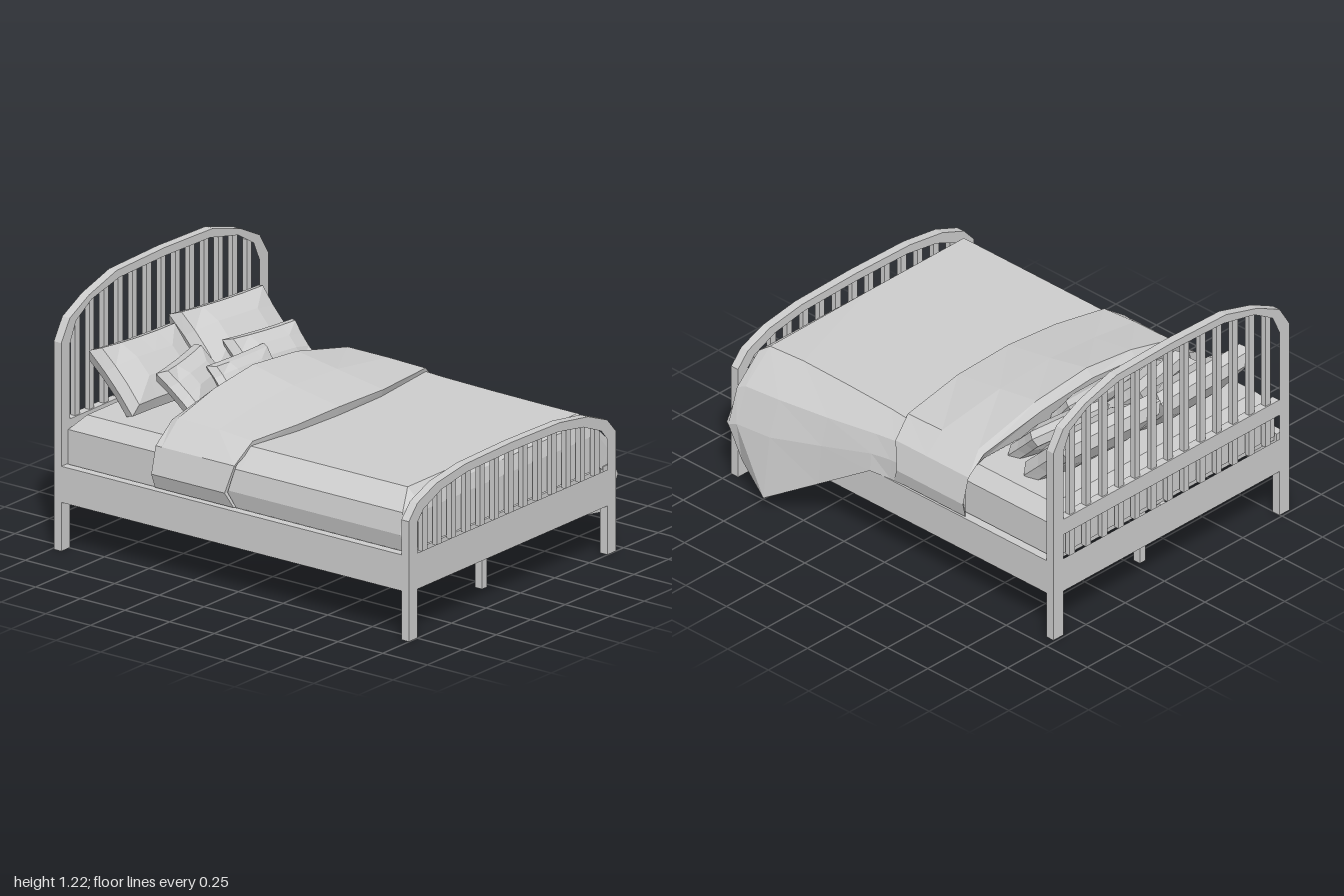
import * as THREE from 'three';

const CX = -0.057; // centre line of the bed frame
const HALF = 0.752; // half the frame width
const POST = 0.063;
const DEPTH = 0.042;

const mat = new THREE.MeshStandardMaterial({ color: 0xcccccc, flatShading: true });
const clothMat = new THREE.MeshStandardMaterial({ color: 0xcccccc, flatShading: true, side: THREE.DoubleSide });

function add(parent, name, geometry, x = 0, y = 0, z = 0, material = mat) {
  const mesh = new THREE.Mesh(geometry, material);
  mesh.name = name;
  mesh.position.set(x, y, z);
  parent.add(mesh);
  return mesh;
}

// Box given by its extents
function box(parent, name, x0, x1, y0, y1, z0, z1) {
  return add(parent, name, new THREE.BoxGeometry(x1 - x0, y1 - y0, z1 - z0),
    (x0 + x1) / 2, (y0 + y1) / 2, (z0 + z1) / 2);
}

// Mirrors the left half of an arch, running from the -x side to the +x side
const mirrored = (half) => [...half, ...half.slice(0, -1).reverse().map(([x, y]) => [-x, y])];

// Height of a polyline at x
function heightAt(points, x) {
  for (let i = 1; i < points.length; i++) {
    const [x0, y0] = points[i - 1], [x1, y1] = points[i];
    if (x <= x1) return y0 + (y1 - y0) * (x - x0) / (x1 - x0);
  }
  return points[points.length - 1][1];
}

// Arched board with legs, a solid lower panel and upright slats
function board(name, outerHalf, innerHalf, z, railY) {
  const group = new THREE.Group();
  group.name = name;
  const inner = mirrored(innerHalf);
  const legX = HALF - POST;
  const vec = ([x, y]) => new THREE.Vector2(x, y);
  const shape = new THREE.Shape([
    [-legX, 0.23], [-legX, 0], [-HALF, 0], ...mirrored(outerHalf),
    [HALF, 0], [legX, 0], [legX, 0.23]].map(vec));
  shape.holes.push(new THREE.Path([[-legX, 0.4], ...inner, [legX, 0.4]].map(vec)));
  add(group, name + 'Arch', new THREE.ExtrudeGeometry(shape, { depth: DEPTH, bevelEnabled: false }), 0, 0, -DEPTH / 2);
  for (let i = -6; i <= 6; i++) {
    const x = i * 0.104;
    box(group, name + 'Slat', x - 0.017, x + 0.017, 0.39, heightAt(inner, x) + 0.012, -0.013, 0.013);
  }
  if (railY) box(group, name + 'MiddleRail', -legX, legX, railY, railY + 0.08, -0.02, 0.02);
  group.position.set(CX, 0, z);
  return group;
}

// Sheet lofted through sections of [x, y, z] points
function loft(sections) {
  const n = sections[0].length;
  const index = [];
  for (let i = 0; i < sections.length - 1; i++) {
    for (let j = 0; j < n - 1; j++) {
      const a = i * n + j, b = a + n;
      index.push(a, b, a + 1, a + 1, b, b + 1);
    }
  }
  const geometry = new THREE.BufferGeometry();
  geometry.setAttribute('position', new THREE.Float32BufferAttribute(sections.flat(2), 3));
  geometry.setIndex(index);
  geometry.computeVertexNormals();
  return geometry;
}

// Cushion: a box with broad bevelled sides around a wider middle seam
function pillow(parent, name, w, h, t, pos, tilt, yaw = 0, roll = 0) {
  const geometry = new THREE.BoxGeometry(w, h, t, 4, 3, 2);
  const p = geometry.attributes.position;
  for (let i = 0; i < p.count; i++) {
    const u = p.getX(i) / (w / 2), v = p.getY(i) / (h / 2), s = p.getZ(i) / (t / 2);
    const rim = Math.max(Math.abs(u), Math.abs(v));
    const inset = Math.abs(s);
    p.setXYZ(i,
      p.getX(i) * (1 - 0.04 * (1 - v * v)) - u * inset * 0.025,
      p.getY(i) * (1 - 0.04 * (1 - u * u)) - v * inset * 0.025,
      s * (rim > 0.9 ? 0.62 : 1) * t / 2);
  }
  geometry.computeVertexNormals();
  const mesh = add(parent, name, geometry, ...pos);
  mesh.rotation.set(-tilt, yaw, roll, 'YXZ');
}

export function createModel() {
  const model = new THREE.Group();
  model.name = 'bed';

  // Headboard and footboard
  model.add(board('headboard',
    [[-0.752, 0.98], [-0.69, 1.08], [-0.55, 1.15], [-0.35, 1.208], [0, 1.217]],
    [[-0.689, 0.96], [-0.645, 1.055], [-0.53, 1.125], [-0.33, 1.17], [0, 1.178]], -0.967, 0.525));
  model.add(board('footboard',
    [[-0.752, 0.565], [-0.689, 0.635], [-0.55, 0.69], [-0.345, 0.72], [0, 0.727]],
    [[-0.689, 0.545], [-0.645, 0.595], [-0.515, 0.65], [-0.33, 0.68], [0, 0.687]], 0.978));

  // Side rails
  const base = new THREE.Group();
  base.name = 'base';
  base.position.x = CX;
  model.add(base);
  for (const s of [-1, 1]) {
    add(base, 'sideRail', new THREE.BoxGeometry(0.042, 0.17, 1.91), s * (HALF - 0.021), 0.315, 0.005);
  }

  // Cross slats, centre beam and its legs
  for (let i = 0; i < 26; i++) {
    add(base, 'crossSlat', new THREE.BoxGeometry(1.43, 0.025, 0.05), 0, 0.375, -0.91 + i * 0.0732);
  }
  add(base, 'centreBeam', new THREE.BoxGeometry(0.03, 0.03, 1.91), 0.01, 0.35, 0.005);
  for (const z of [-0.8, 0.01, 0.815]) {
    add(base, 'centreLeg', new THREE.BoxGeometry(0.036, 0.35, 0.04), 0.01, 0.175, z);
  }

  // Mattress with chamfered top edges
  const ring = (inset, y) => [
    [-0.76 + inset, y, -0.945 + inset], [-0.76 + inset, y, 0.93 - inset],
    [0.645 - inset, y, 0.93 - inset], [0.645 - inset, y, -0.945 + inset], [-0.76 + inset, y, -0.945 + inset]];
  const centre = (y) => Array(5).fill([CX, y, 0]);
  add(model, 'mattress', loft([centre(0.625), ring(0.06, 0.625), ring(0, 0.56), ring(0, 0.39), centre(0.39)]),
    0, 0, 0, clothMat);

  // Blanket: tucked in on one side, hanging to the floor on the other
  const section = (z, left, right, top = 0.665) => [
    ...left, [-0.67, top], [-0.05, top], ...right].map(([x, y]) => [x, y, z]);
  const tucked = [[-0.765, 0.4], [-0.785, 0.48], [-0.765, 0.58]];
  add(model, 'blanket', loft([
    section(-0.42, tucked, [[0.57, 0.66], [0.65, 0.6], [0.67, 0.5], [0.67, 0.41]], 0.66),
    section(0.02, tucked, [[0.58, 0.665], [0.665, 0.59], [0.69, 0.5], [0.69, 0.4]]),
    section(0.13, tucked, [[0.57, 0.665], [0.67, 0.58], [0.7, 0.49], [0.71, 0.405]]),
    section(0.41, tucked, [[0.56, 0.665], [0.69, 0.55], [0.73, 0.42], [0.75, 0.23]]),
    section(0.69, tucked, [[0.555, 0.665], [0.71, 0.53], [0.77, 0.36], [0.81, 0.06]]),
    section(0.885, tucked, [[0.565, 0.66], [0.72, 0.52], [0.78, 0.35], [0.745, 0.145]]),
    section(0.93, tucked, [[0.59, 0.63], [0.73, 0.5], [0.785, 0.33], [0.71, 0.2]], 0.625),
    section(0.95, [[-0.765, 0.4], [-0.775, 0.46], [-0.755, 0.52]],
      [[0.62, 0.56], [0.7, 0.47], [0.775, 0.33], [0.69, 0.2]], 0.56),
    section(0.957, [[-0.755, 0.4], [-0.755, 0.4], [-0.75, 0.4]],
      [[0.63, 0.4], [0.66, 0.38], [0.69, 0.3], [0.69, 0.2]], 0.4),
  ]), 0, 0, 0, clothMat);

  // Turned-back top of the blanket, puffed up in the middle
  const xs = [-0.785, -0.812, -0.78, -0.66, -0.4, -0.12, 0.2, 0.57, 0.67, 0.705, 0.69];
  const sides = [0.405, 0.475, 0.6];
  const bow = [0, -0.03, 0, 0.01, 0.06, 0.08, 0.08, 0.03, 0.01, -0.03, 0]; // curved front hem
  const fold = (ys, z, hem = 0, grow = 0) => {
    const heights = [...sides, ...ys, ...sides.slice().reverse()];
    return xs.map((x, i) => [x * (1 + grow), heights[i], z + hem * bow[i]]);
  };
  add(model, 'foldedBlanket', loft([
    fold([0.64, 0.64, 0.64, 0.64, 0.64], -0.42, 0, -0.03),
    fold([0.69, 0.74, 0.765, 0.74, 0.68], -0.44),
    fold([0.705, 0.77, 0.803, 0.775, 0.69], -0.405),
    fold([0.7, 0.735, 0.755, 0.74, 0.69], -0.18),
    fold([0.685, 0.7, 0.71, 0.7, 0.685], 0.0, 1),
    fold([0.66, 0.66, 0.66, 0.66, 0.66], 0.0, 0.85, -0.02),
  ]), 0, 0, 0, clothMat);

  // Two large pillows and three cushions
  pillow(model, 'rightPillow', 0.57, 0.36, 0.16, [-0.355, 0.758, -0.795], 0.8, 0.04, -0.08);
  pillow(model, 'leftPillow', 0.59, 0.36, 0.16, [0.238, 0.765, -0.785], 0.8, -0.04, -0.05);
  pillow(model, 'rightCushion', 0.4, 0.26, 0.13, [-0.285, 0.728, -0.605], 0.8, 0.2, 0.03);
  pillow(model, 'leftCushion', 0.44, 0.25, 0.12, [0.24, 0.718, -0.58], 0.8, -0.1, -0.04);
  pillow(model, 'smallCushion', 0.41, 0.19, 0.1, [-0.05, 0.722, -0.5], 0.7, 0, -0.02);

  return model;
}
